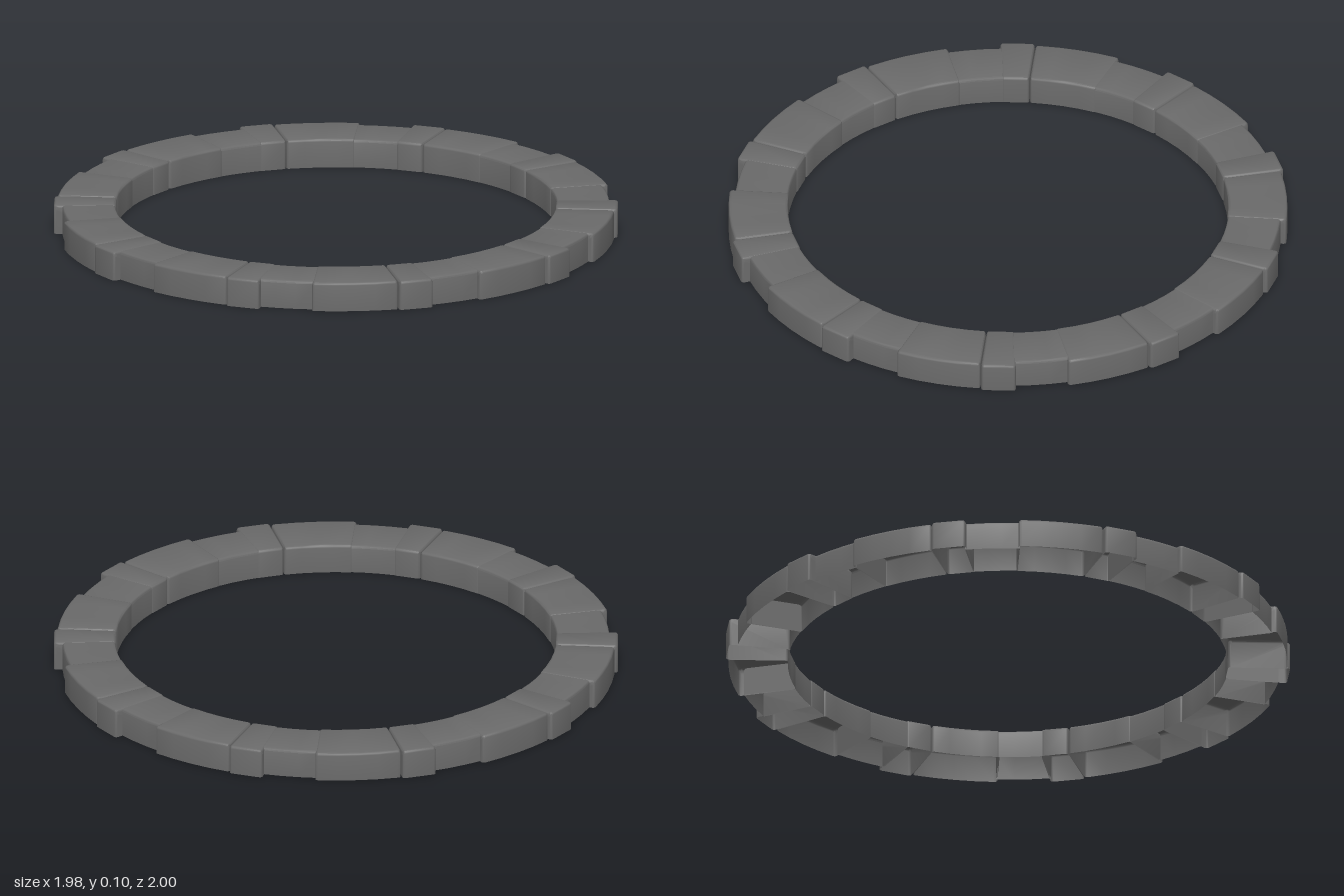
import * as THREE from 'three';
import { toCreasedNormals } from 'three/addons/utils/BufferGeometryUtils.js';

const ROUND = 0.01;
const REPEATS = 10;

// Quarter round in three steps, as [run, inset] pairs from the side to the flat
const QUARTER = [0, 1, 2, 3].map((i) => {
  const t = (i / 3) * Math.PI / 2;
  return [ROUND * (1 - Math.cos(t)), ROUND * (1 - Math.sin(t))];
});

// Open-bottomed curved block, swept from angle a0 to a1 (degrees, from +z towards +x)
function stoneGeometry({ from, to, inner, outer, height, segments, roundEnds }) {
  const a0 = THREE.MathUtils.degToRad(from), a1 = THREE.MathUtils.degToRad(to);

  // Inner wall, rounded top edges, outer wall, as [radius, y]
  const profile = (inset) => {
    const ri = inner + inset, ro = outer - inset, h = height - inset;
    const rise = QUARTER.map(([run, drop]) => [ri + run, h - drop]);
    const fall = QUARTER.map(([run, drop]) => [ro - run, h - drop]).reverse();
    return [[ri, 0], ...rise, ...fall, [ro, 0]];
  };

  // Sections as [angle, inset], with rounded or square ends
  const ends = roundEnds ? QUARTER.map(([run, inset]) => [run / outer, inset]) : [[0, 0]];
  const pad = ends[ends.length - 1][0];
  const sections = ends.map(([a, inset]) => [a0 + a, inset]);
  for (let i = 1; i < segments; i++) {
    sections.push([THREE.MathUtils.lerp(a0 + pad, a1 - pad, i / segments), 0]);
  }
  sections.push(...ends.map(([a, inset]) => [a1 - a, inset]).reverse());

  const positions = [], index = [];
  for (const [a, inset] of sections) {
    for (const [r, y] of profile(inset)) positions.push(r * Math.sin(a), y, r * Math.cos(a));
  }

  // Skin between neighbouring sections
  const n = profile(0).length, last = (sections.length - 1) * n;
  for (let i = 0; i < sections.length - 1; i++) {
    for (let j = 0; j < n - 1; j++) {
      const p = i * n + j, q = p + n;
      index.push(p, p + 1, q, p + 1, q + 1, q);
    }
  }

  // End walls
  for (let j = 1; j < n - 1; j++) {
    index.push(0, j + 1, j, last, last + j, last + j + 1);
  }

  const geometry = new THREE.BufferGeometry();
  geometry.setAttribute('position', new THREE.Float32BufferAttribute(positions, 3));
  geometry.setIndex(index);
  return toCreasedNormals(geometry, 0.6);
}

export function createModel() {
  const ring = new THREE.Group();
  ring.name = 'stoneRing';
  const material = new THREE.MeshStandardMaterial({ color: 0x6a6a6a, side: THREE.DoubleSide });

  // One run of three stones, repeated around the ring; the medium one tucks into its neighbours
  const stones = [
    ['narrowStone', { from: 0.1, to: 7.2, inner: 0.78, outer: 1, height: 0.105, segments: 1, roundEnds: true }],
    ['mediumStone', { from: 6.9, to: 18.4, inner: 0.782, outer: 0.97, height: 0.103, segments: 3, roundEnds: false }],
    ['wideStone', { from: 18.1, to: 35.9, inner: 0.78, outer: 0.99, height: 0.105, segments: 4, roundEnds: true }],
  ];
  for (const [name, shape] of stones) {
    const geometry = stoneGeometry(shape);
    for (let i = 0; i < REPEATS; i++) {
      const mesh = new THREE.Mesh(geometry, material);
      mesh.name = name;
      mesh.rotation.y = (i / REPEATS) * Math.PI * 2;
      ring.add(mesh);
    }
  }
  return ring;
}
